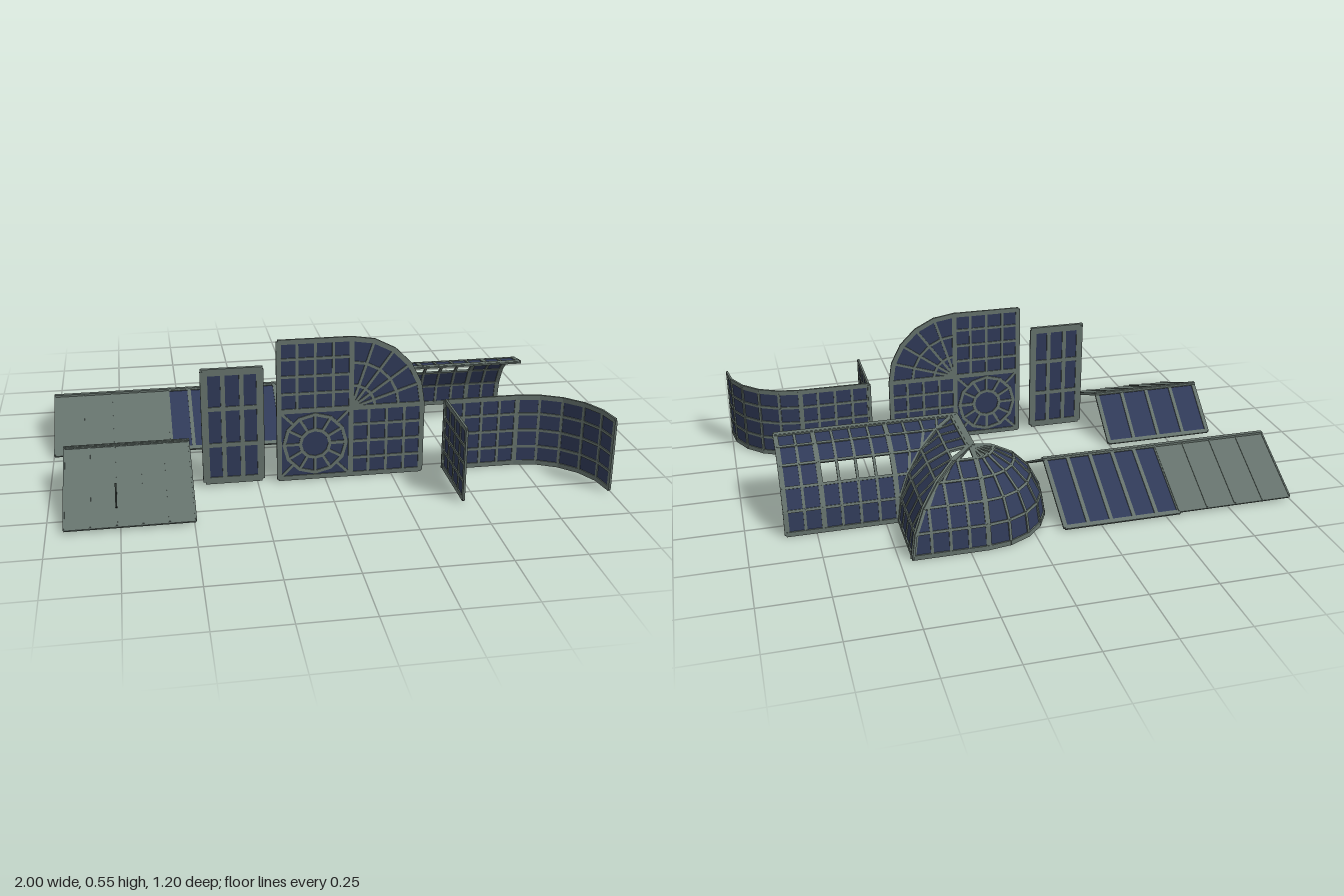
import * as THREE from 'three';
import { mergeGeometries } from 'three/addons/utils/BufferGeometryUtils.js';

const V = (x, y, z) => new THREE.Vector3(x, y, z);

export function createModel() {
  const root = new THREE.Group();
  const mat = (name, color, side = THREE.FrontSide) =>
    Object.assign(new THREE.MeshStandardMaterial({ color, side }), { name });
  const frame = mat('grey green metal', 0x65726c);
  const glass = mat('dark blue glass', 0x303a58, THREE.DoubleSide);
  const dark = mat('dark slot', 0x2a302d);

  const add = (name, geos, material) => {
    if (!geos.length) return;
    const mesh = new THREE.Mesh(mergeGeometries(geos), material);
    mesh.name = name;
    root.add(mesh);
  };

  // Flat bar from a to b, facing normal n
  const bar = (a, b, n, w, d = 0.008) => {
    const dir = b.clone().sub(a), len = dir.length();
    if (len < 1e-4) return [];
    dir.divideScalar(len);
    const x = dir.clone().cross(n).normalize(), z = x.clone().cross(dir);
    const g = new THREE.BoxGeometry(w, len + w * 0.3, d);
    g.applyMatrix4(new THREE.Matrix4().makeBasis(x, dir, z).setPosition(a.clone().add(b).multiplyScalar(0.5)));
    return [g];
  };
  const quad = (a, b, c, d) => {
    const g = new THREE.BufferGeometry().setFromPoints([a, b, c, a, c, d]);
    g.computeVertexNormals();
    return g;
  };

  // Grid of panes over p(u, v) with glazing bars; kind(i, j): 'glass', 'metal' or 'open'
  function glazed(name, p, n, nu, nv, { edge = 0.018, inner = 0.01, kind = () => 'glass' } = {}) {
    const panes = [], plates = [], bars = [];
    const at = (i, j) => p(i / nu, j / nv);
    for (let i = 0; i <= nu; i++) for (let j = 0; j <= nv; j++) {
      if (i < nu && j < nv) {
        const k = kind(i, j);
        const q = [at(i, j), at(i + 1, j), at(i + 1, j + 1), at(i, j + 1)];
        if (k === 'glass') panes.push(quad(...q));
        if (k === 'metal') plates.push(quad(...q), quad(...q.reverse()));
      }
      if (i < nu) bars.push(...bar(at(i, j), at(i + 1, j), n((i + 0.5) / nu, j / nv), j % nv ? inner : edge));
      if (j < nv) bars.push(...bar(at(i, j), at(i, j + 1), n(i / nu, (j + 0.5) / nv), i % nu ? inner : edge));
    }
    add(name + 'Glass', panes, glass);
    add(name + 'Frame', [...bars, ...plates.map(g => {
      const m = g.clone();
      m.setAttribute('uv', new THREE.Float32BufferAttribute(12, 2));
      m.setIndex([0, 1, 2, 3, 4, 5]);
      return m;
    })], frame);
  }
  const flat = (name, o, U, W, nu, nv, opt) => {
    const n = U.clone().cross(W).normalize();
    glazed(name, (u, v) => o.clone().addScaledVector(U, u).addScaledVector(W, v), () => n, nu, nv, opt);
  };

  // Gable roofs: metal slope with standing seams
  function metalSlope(name, o, U, W, seams) {
    const n = U.clone().cross(W).normalize(), geos = [];
    const at = (u, v) => o.clone().addScaledVector(U, u).addScaledVector(W, v);
    geos.push(...bar(at(0.5, 0.015), at(0.5, 0.985), n, U.length(), 0.006).map(g => {
      const s = W.length() / (W.length() * 0.97 + U.length() * 0.3);
      const c = at(0.5, 0.5), d = W.clone().normalize();
      const pos = g.attributes.position, q = V();
      for (let i = 0; i < pos.count; i++) {
        q.fromBufferAttribute(pos, i).sub(c);
        q.addScaledVector(d, q.dot(d) * (s - 1)).add(c);
        pos.setXYZ(i, q.x, q.y, q.z);
      }
      return g;
    }));
    for (let i = 0; i <= seams; i++) geos.push(...bar(at(i / seams, 0.02), at(i / seams, 0.98), n, 0.006, 0.011));
    add(name, geos, frame);
  }
  const X = 0.438, H = 0.145, y0 = 0.01;
  metalSlope('largeRoofBackMetal', V(-0.995, y0, -0.545), V(0.445, 0, 0), V(0, H, 0.265), 4);
  metalSlope('largeRoofFrontMetal', V(-0.995, y0, -0.015), V(0.445, 0, 0), V(0, H, -0.265), 4);
  flat('largeRoofBack', V(-0.55, y0, -0.542), V(X, 0, 0), V(0, H, 0.262), 5, 1, { edge: 0.016, inner: 0.014 });
  flat('largeRoofFront', V(-0.55, y0, -0.018), V(X, 0, 0), V(0, H, -0.262), 5, 1, { edge: 0.016, inner: 0.014 });
  metalSlope('smallRoofFront', V(-0.94, y0, 0.595), V(0.445, 0, 0), V(0, H, -0.355), 5);
  flat('smallRoofBack', V(-0.935, y0, 0.068), V(0.435, 0, 0), V(0, H, 0.172), 4, 1, { edge: 0.016, inner: 0.014 });
  add('roofRidges', [
    ...bar(V(-0.995, 0.158, -0.28), V(-0.105, 0.158, -0.28), V(0, 1, 0), 0.016),
    ...bar(V(-0.94, 0.158, 0.24), V(-0.495, 0.158, 0.24), V(0, 1, 0), 0.016)], frame);
  add('roofSlot', bar(V(-0.762, 0.046, 0.52), V(-0.762, 0.087, 0.42), V(0, 0.925, 0.38), 0.006, 0.014), dark);

  // Flat wall panels
  const Z = 0.305, T = 0.265, yb = 0.009;
  flat('doorPanel', V(-0.437, 0.02, Z), V(0.2, 0, 0), V(0, 0.42, 0), 3, 3, { edge: 0.026, inner: 0.016 });
  add('doorCap', bar(V(-0.448, 0.45, Z), V(-0.228, 0.45, Z), V(0, 0, 1), 0.008, 0.014), frame);
  flat('gridPanelTop', V(-0.17, yb + T, Z), V(T, 0, 0), V(0, T, 0), 4, 4);
  flat('gridPanelSide', V(-0.17 + T, yb, Z), V(T, 0, 0), V(0, T, 0), 4, 4);
  flat('roundPanel', V(-0.17, yb, Z), V(T, 0, 0), V(0, T, 0), 1, 1);
  const polar = (cx, cy, r0, r1, arc) => (u, v) => {
    const r = r0 + (r1 - r0) * v;
    return V(cx + r * Math.cos(u * arc), cy + r * Math.sin(u * arc), Z);
  };
  const front = () => V(0, 0, 1);
  glazed('quarterRoundPanel', polar(-0.17 + T, yb + T, 0, T, Math.PI / 2), front, 5, 3);
  const cx = -0.17 + T / 2, cy = yb + T / 2;
  glazed('roundWindow', polar(cx, cy, 0.055, 0.115, Math.PI * 2), front, 12, 1, { edge: 0.012 });
  add('roundPanelTies', [0, 1, 2, 3].flatMap(k => {
    const a = Math.PI / 4 + k * Math.PI / 2, c = Math.cos(a), s = Math.sin(a);
    return bar(V(cx + 0.115 * c, cy + 0.115 * s, Z), V(cx + 0.18 * c, cy + 0.18 * s, Z), V(0, 0, 1), 0.01);
  }), frame);

  // Corner wall ending in a quarter-round bend
  flat('cornerWallSide', V(0.452, yb, 0.57), V(0, 0, -T), V(0, T, 0), 4, 4);
  flat('cornerWallBack', V(0.452, yb, Z), V(0.273, 0, 0), V(0, T, 0), 4, 4);
  glazed('cornerWallBend', (u, v) => V(0.725 + 0.27 * Math.sin(u * Math.PI / 2), yb + T * v, Z + 0.27 - 0.27 * Math.cos(u * Math.PI / 2)),
    u => V(Math.sin(u * Math.PI / 2), 0, -Math.cos(u * Math.PI / 2)), 5, 4);

  // Quarter-vault glass roof: v runs from the crown (0) to the eaves (1)
  const R = 0.268, ox = 0.185, oz = -0.33, iz = -0.062;
  const S = v => Math.sin(v * Math.PI / 2), C = v => Math.cos(v * Math.PI / 2);
  const Y = v => 0.007 + R * C(v);
  const toBack = (u, v) => V(0, C(v), -S(v)), toSide = (u, v) => V(S(v), C(v), 0);
  const openTop = { kind: (i, j) => j === 0 ? 'open' : 'glass' };
  const openRow = { kind: (i, j) => j === 2 ? 'open' : 'glass' };

  glazed('domeEnd', (u, v) => V(ox - R * S(v) * S(u), Y(v), oz - R * S(v) * C(u)),
    (u, v) => V(-S(v) * S(u), C(v), -S(v) * C(u)), 5, 5, { kind: (i, j) => j === 0 ? 'metal' : 'glass' });
  glazed('hipBack', (u, v) => V(ox + Math.min(u * R, R * S(v)), Y(v), oz - R * S(v)), toBack, 4, 5, openTop);
  glazed('hipSide', (u, v) => V(ox + R * S(v), Y(v), oz - Math.min(u * R, R * S(v))), toSide, 4, 5, openTop);
  glazed('valleySide', (u, v) => V(ox + R * S(v), Y(v), oz + Math.min(u * R, R * (1 - S(v)))), toSide, 4, 5);
  glazed('valleyBack', (u, v) => V(ox + R - Math.min(u * R, R * (1 - S(v))), Y(v), iz - R * S(v)), toBack, 4, 5);
  glazed('vault', (u, v) => V(ox + R + u * R, Y(v), iz - R * S(v)), toBack, 4, 5, openRow);
  glazed('vaultEnd', (u, v) => V(ox + 2 * R + u * R / 2, Y(v), iz - R * S(v)), toBack, 2, 5);

  // Wide rails along the crown
  add('crownRails', [
    ...bar(V(ox, 0.275, oz), V(ox, 0.275, iz), V(0, 1, 0), 0.034, 0.006),
    ...bar(V(ox - 0.01, 0.275, iz), V(ox + 2.5 * R, 0.275, iz), V(0, 1, 0), 0.03, 0.006)], frame);

  return root;
}
